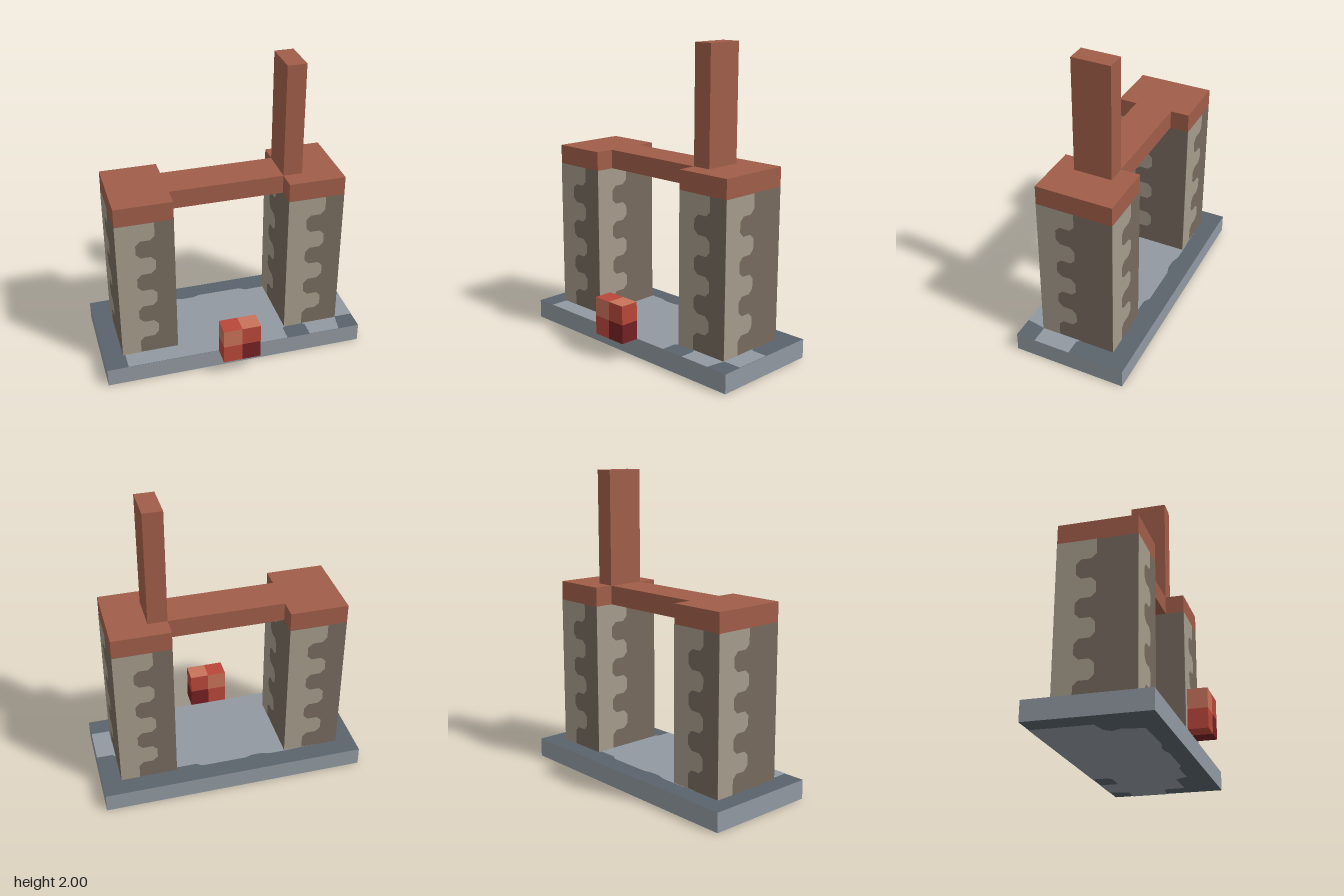
import * as THREE from 'three';

const mat = (name, color) => {
  const m = new THREE.MeshStandardMaterial({ color });
  m.name = name;
  return m;
};

const shapeOf = (pts) => new THREE.Shape(pts.map(([x, y]) => new THREE.Vector2(x, y)));

// Light stone panel: straight left edge, toothed right edge with clipped corners
function toothedShape(rows, step, narrow, wide, clip) {
  const pts = [[0, rows * step], [0, 0], [narrow, 0]];
  for (let i = 1; i < rows; i++) {
    const from = i % 2 ? narrow : wide;
    const to = i % 2 ? wide : narrow;
    const dir = Math.sign(to - from) * clip;
    const y = i * step;
    pts.push([from, y - clip], [from + dir, y], [to - dir, y], [to, y + clip]);
  }
  pts.push([wide, rows * step]);
  return shapeOf(pts);
}

export function createModel() {
  const model = new THREE.Group();
  model.name = 'gateway';

  const lightStone = mat('lightStone', 0xa59b8b);
  const darkStone = mat('darkStone', 0x766a5e);
  const terracotta = mat('terracotta', 0xa05d49);
  const paleSlate = mat('paleSlate', 0x9199a1);
  const darkSlate = mat('darkSlate', 0x5a636c);
  const paleRed = mat('paleRed', 0xc97259);
  const midRed = mat('midRed', 0xb9473a);
  const deepRed = mat('deepRed', 0x742123);

  const add = (parent, name, geometry, material, x = 0, y = 0, z = 0) => {
    const mesh = new THREE.Mesh(geometry, material);
    mesh.name = name;
    mesh.position.set(x, y, z);
    parent.add(mesh);
    return mesh;
  };

  // Base slab: pale sides, dark top and bottom with a pale worn patch on each
  const midZ = -0.0625;
  add(model, 'baseSlab', new THREE.BoxGeometry(1.75, 0.125, 0.75),
    [paleSlate, paleSlate, darkSlate, darkSlate, paleSlate, paleSlate], 0, 0.0625, midZ);
  const patch = shapeOf([
    [-0.735, -0.375], [0.36, -0.375], [0.36, -0.27], [0.385, -0.248], [0.5, -0.248],
    [0.52, -0.27], [0.52, -0.375], [0.73, -0.375], [0.745, -0.28], [0.755, -0.245],
    [0.875, -0.245], [0.875, 0], [0.77, 0], [0.74, 0.03], [0.74, 0.15],
    [0.5, 0.15], [0.46, 0.23], [0.24, 0.23], [0.2, 0.255], [-0.1, 0.255],
    [-0.15, 0.24], [-0.22, 0.24], [-0.28, 0.257], [-0.37, 0.257], [-0.6, 0.25],
    [-0.63, 0.12], [-0.6, 0.06], [-0.63, 0.02], [-0.735, 0],
  ]);
  add(model, 'topPatch', new THREE.ShapeGeometry(patch).rotateX(-Math.PI / 2), paleSlate, 0, 0.127, midZ);
  add(model, 'bottomPatch', new THREE.ShapeGeometry(patch).rotateX(Math.PI / 2), paleSlate, 0, -0.002, midZ);

  // Pillars, with a toothed light panel on the left of every face
  const panel = new THREE.ShapeGeometry(toothedShape(8, 0.125, 0.125, 0.25, 0.03));
  const [w, h, d] = [0.375, 1, 0.5];
  for (const side of [-1, 1]) {
    const pillar = new THREE.Group();
    pillar.name = side > 0 ? 'leftPillar' : 'rightPillar';
    pillar.position.set(side * 0.5625, 0.125, midZ);
    add(pillar, 'pillarCore', new THREE.BoxGeometry(w, h, d), darkStone, 0, h / 2, 0);
    for (let i = 0; i < 4; i++) {
      const [faceWidth, depth] = i % 2 ? [d, w] : [w, d];
      const face = new THREE.Group();
      face.name = 'pillarFace';
      face.rotation.y = i * Math.PI / 2;
      add(face, 'lightPanel', panel, lightStone, -faceWidth / 2, 0, depth / 2 + 0.002);
      pillar.add(face);
    }
    model.add(pillar);
  }

  // Pillar caps joined by a narrower beam
  const lintel = shapeOf([
    [-0.75, -0.1875], [-0.375, -0.1875], [-0.375, -0.0625], [0.375, -0.0625],
    [0.375, -0.1875], [0.75, -0.1875], [0.75, 0.3125], [0.375, 0.3125],
    [0.375, 0.1875], [-0.375, 0.1875], [-0.375, 0.3125], [-0.75, 0.3125],
  ]);
  const lintelGeometry = new THREE.ExtrudeGeometry(lintel, { depth: 0.125, bevelEnabled: false });
  add(model, 'capsAndBeam', lintelGeometry.rotateX(-Math.PI / 2), terracotta, 0, 1.125, 0);

  // Upright post on the left cap
  add(model, 'post', new THREE.BoxGeometry(0.125, 0.75, 0.25), terracotta, 0.4375, 1.625, midZ);

  // Red block in four cells: [x side, y row, face colour, top colour]
  const block = new THREE.Group();
  block.name = 'redBlock';
  const cell = new THREE.BoxGeometry(0.125, 0.125, 0.125);
  for (const [sx, row, face, top] of [
    [-1, 1, paleRed, midRed], [1, 1, midRed, paleRed],
    [-1, 0, midRed, midRed], [1, 0, deepRed, deepRed],
  ]) {
    add(block, 'redCell', cell, [face, face, top, face, face, face],
      sx * 0.0625, 0.1875 + row * 0.125, 0.375);
  }
  model.add(block);

  return model;
}
